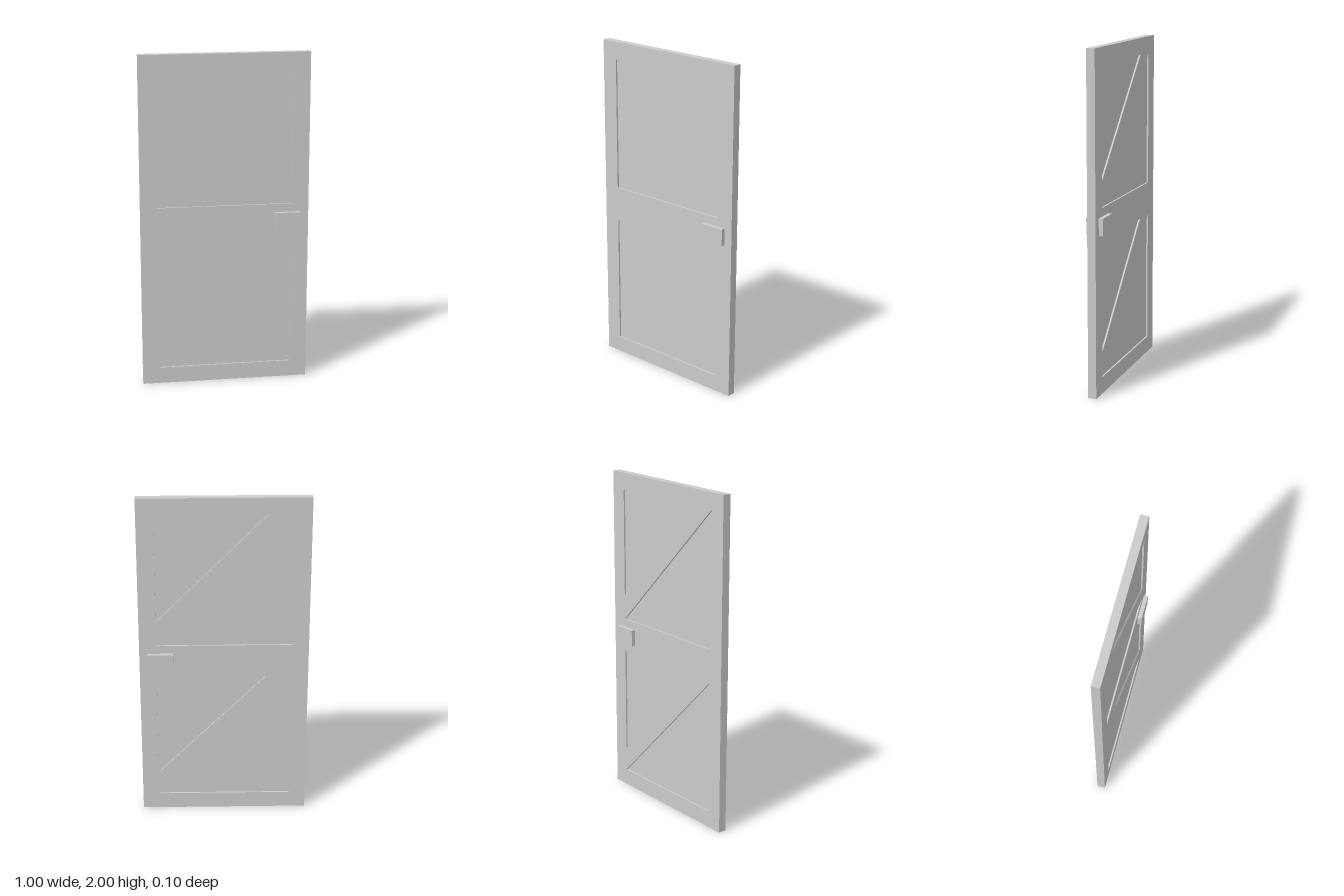
import * as THREE from 'three';

const material = new THREE.MeshStandardMaterial({ color: 0xcccccc, flatShading: true });

// Plate centred on z = 0, cut from a flat outline
function plate(name, shape, thickness) {
  const geometry = new THREE.ExtrudeGeometry(shape, { depth: thickness, bevelEnabled: false });
  geometry.translate(0, 0, -thickness / 2);
  const mesh = new THREE.Mesh(geometry, material);
  mesh.name = name;
  return mesh;
}

const points = (list) => list.map(([x, y]) => new THREE.Vector2(x, y));

export function createModel() {
  const door = new THREE.Group();
  door.name = 'door';

  const frame = new THREE.Shape(points([[-0.5, 0], [0.5, 0], [0.5, 2], [-0.5, 2]]));

  // Two bays, each split by a diagonal brace into two recessed triangles
  for (const [bay, y] of [['lower', 0.1], ['upper', 1.1]]) {
    const triangles = {
      BelowBrace: points([[-0.4, y], [0.4, y], [-0.4, y + 0.8]]),
      AboveBrace: points([[0.4, y + 0.15], [0.4, y + 0.8], [-0.25, y + 0.8]]),
    };
    for (const [place, corners] of Object.entries(triangles)) {
      frame.holes.push(new THREE.Path(corners));
      door.add(plate(`${bay}Panel${place}`, new THREE.Shape(corners), 0.03));
    }
  }
  door.add(plate('bracedFrame', frame, 0.05));

  // Block handles on both faces
  for (const [side, sign] of [['front', 1], ['back', -1]]) {
    const handle = new THREE.Mesh(new THREE.BoxGeometry(0.15, 0.1, 0.025), material);
    handle.name = `${side}Handle`;
    handle.position.set(0.375, 1, sign * 0.0375);
    door.add(handle);
  }

  return door;
}
